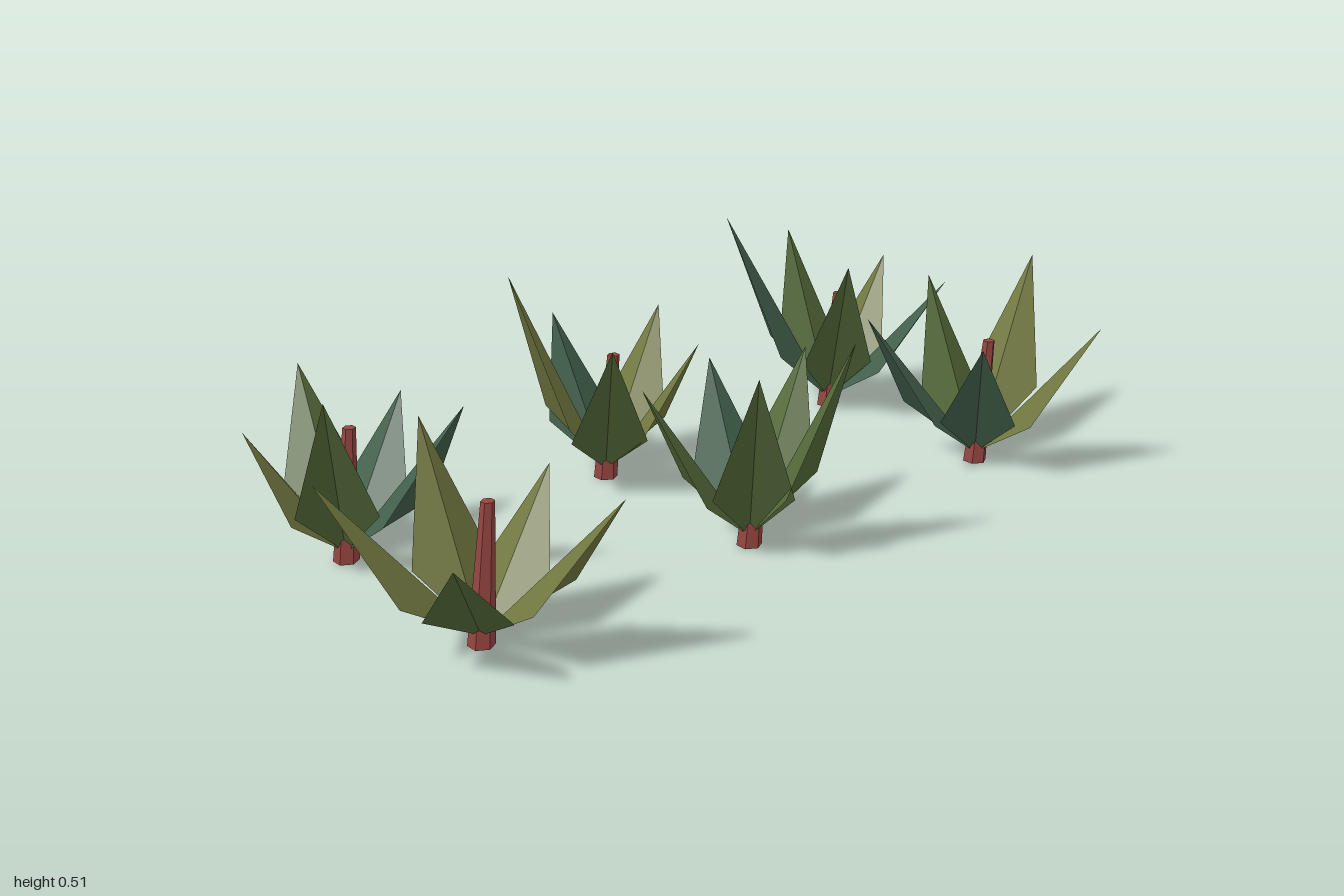
import * as THREE from 'three';

const paint = (name, color) => Object.assign(new THREE.MeshStandardMaterial({ color, flatShading: true, side: THREE.DoubleSide }), { name });
const olive = paint('olive', 0x717840);
const green = paint('green', 0x546a39);
const teal = paint('blueGreen', 0x43614c);
const red = paint('stemRed', 0x93443f);

// Each plant: root position, then leaf tips [x, y, z, colour], going round the rosette
const plants = [
  { root: [-0.74, -0.263], leaves: [
    [-0.68, 0.36, -0.52, green], [-0.545, 0.32, -0.325, teal], [-0.62, 0.405, 0.03, teal],
    [-0.865, 0.435, -0.09, green], [-0.9, 0.3, -0.37, olive]] },
  { root: [-0.04, -0.263], leaves: [
    [-0.04, 0.355, -0.455, teal], [0.18, 0.36, -0.33, olive], [0.08, 0.35, -0.07, olive],
    [-0.19, 0.4, -0.04, green], [-0.25, 0.515, -0.333, olive]] },
  { root: [0.69, -0.263], leaves: [
    [0.72, 0.42, -0.453, green], [0.89, 0.36, -0.273, olive], [0.835, 0.36, -0.01, teal],
    [0.59, 0.42, -0.106, green], [0.47, 0.505, -0.414, teal]] },
  { root: [-0.74, 0.235], leaves: [
    [-0.73, 0.413, 0.036, olive], [-0.54, 0.315, 0.2, olive], [-0.605, 0.363, 0.52, olive],
    [-0.925, 0.285, 0.433, green], [-1, 0.36, 0.09, olive]] },
  { root: [-0.04, 0.235], leaves: [
    [0.02, 0.36, 0.035, teal], [0.19, 0.38, 0.16, green], [0.053, 0.492, 0.445, green],
    [-0.176, 0.457, 0.406, green], [-0.257, 0.38, 0.14, green]] },
  { root: [0.69, 0.235], leaves: [
    [0.72, 0.41, 0.036, green], [1, 0.425, 0.122, olive], [0.82, 0.365, 0.479, olive],
    [0.55, 0.34, 0.36, teal], [0.42, 0.385, 0.125, teal]] },
];

// Leaf folded along a straight rib from root to tip, its sides sagging outward
function makeLeaf(tx, ty, tz, material) {
  const r = Math.hypot(tx, tz), half = 0.086;
  const px = -tz / r * half, pz = tx / r * half;
  const sideY = 0.06 + 0.2 * ty;
  const base = [0, 0.02, 0], tip = [tx, ty, tz];
  const a = [tx * 0.52 + px, sideY, tz * 0.52 + pz];
  const b = [tx * 0.52 - px, sideY, tz * 0.52 - pz];
  const geo = new THREE.BufferGeometry();
  geo.setAttribute('position', new THREE.Float32BufferAttribute([base, a, tip, base, tip, b].flat(), 3));
  geo.computeVertexNormals();
  const leaf = new THREE.Mesh(geo, material);
  leaf.name = 'leaf';
  return leaf;
}

// Tapered stem leaning slightly to one side
function makeStem() {
  const h = 0.295;
  const geo = new THREE.CylinderGeometry(0.014, 0.028, h, 6);
  geo.translate(0, h / 2, 0);
  const p = geo.attributes.position;
  for (let i = 0; i < p.count; i++) p.setX(i, p.getX(i) + p.getY(i) / h * 0.028);
  geo.computeVertexNormals();
  const stem = new THREE.Mesh(geo, red);
  stem.name = 'stem';
  return stem;
}

export function createModel() {
  const model = new THREE.Group();
  model.name = 'agavePlants';
  for (const { root: [x, z], leaves } of plants) {
    const plant = new THREE.Group();
    plant.name = 'plant';
    plant.position.set(x, 0, z);
    plant.add(makeStem());
    for (const [tx, ty, tz, material] of leaves) plant.add(makeLeaf(tx - x, ty, tz - z, material));
    model.add(plant);
  }
  return model;
}
